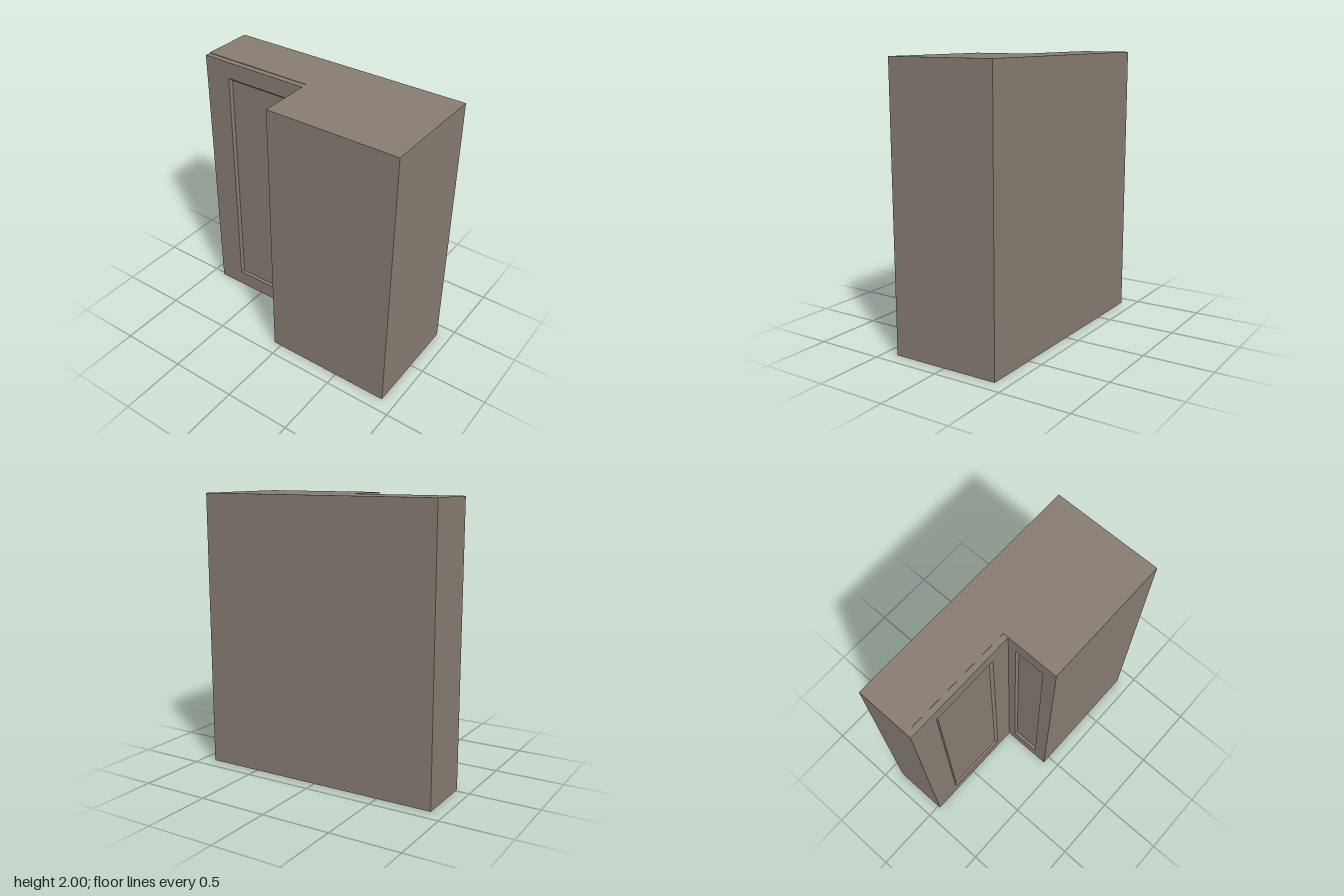
import * as THREE from 'three';

const HEIGHT = 2;
const material = new THREE.MeshStandardMaterial({ color: 0x877c72, flatShading: true });

function mesh(geometry, name) {
  const m = new THREE.Mesh(geometry, material);
  m.name = name;
  return m;
}

// Corners of an upright rectangle, counter-clockwise seen from +z
const corners = (x0, x1, y0, y1) => [[x0, y0], [x1, y0], [x1, y1], [x0, y1]];
const points = (list) => list.map(([x, y]) => new THREE.Vector2(x, y));

// Sloping strip that joins an outer rectangle at z = 0 to an inner one at z = -depth
function bevelGeometry(outer, inner, depth) {
  const pos = [];
  for (let i = 0; i < 4; i++) {
    const j = (i + 1) % 4;
    const a = [...outer[i], 0], b = [...outer[j], 0];
    const c = [...inner[j], -depth], d = [...inner[i], -depth];
    pos.push(...a, ...b, ...c, ...a, ...c, ...d);
  }
  const g = new THREE.BufferGeometry();
  g.setAttribute('position', new THREE.Float32BufferAttribute(pos, 3));
  g.computeVertexNormals();
  return g;
}

// Door with a sunken panel; its front lies on z = 0 and faces +z
function makeDoor(name, { x0, x1, y0, y1, thickness, px0, px1, bevel, depth }) {
  const door = new THREE.Group();
  door.name = name;
  const py0 = 0.125, py1 = 1.875, rise = 0.016;
  const outer = corners(px0, px1, py0, py1);
  const inner = corners(px0 + bevel, px1 - bevel, py0 + rise, py1 - rise);

  const frame = new THREE.Shape(points(corners(x0, x1, y0, y1)));
  frame.holes.push(new THREE.Path(points(outer)));
  const frameGeometry = new THREE.ExtrudeGeometry(frame, { depth: thickness, bevelEnabled: false });
  frameGeometry.translate(0, 0, -thickness);

  const panelGeometry = new THREE.BoxGeometry(px1 - px0, py1 - py0, thickness - depth);
  panelGeometry.translate((px0 + px1) / 2, (py0 + py1) / 2, -(thickness + depth) / 2);

  door.add(
    mesh(frameGeometry, 'doorFrame'),
    mesh(bevelGeometry(outer, inner, depth), 'doorBevel'),
    mesh(panelGeometry, 'doorPanel'),
  );
  return door;
}

export function createModel() {
  const cabinet = new THREE.Group();
  cabinet.name = 'cornerCabinet';

  // L-shaped carcass, drawn in plan (x, -z) and raised to full height
  const plan = new THREE.Shape(points([
    [-0.9, 0.4], [-0.9, 0.02], [0, 0.02], [0, -0.4], [0.9, -0.4], [0.9, 0.4],
  ]));
  const bodyGeometry = new THREE.ExtrudeGeometry(plan, { depth: HEIGHT, bevelEnabled: false });
  bodyGeometry.rotateX(-Math.PI / 2);
  cabinet.add(mesh(bodyGeometry, 'carcass'));

  // Wide door on the shallow wing
  const wide = makeDoor('frontDoor', {
    x0: -0.9, x1: -0.06, y0: 0.004, y1: HEIGHT - 0.004, thickness: 0.04,
    px0: -0.7, px1: -0.2, bevel: 0.02, depth: 0.015,
  });
  wide.position.z = 0.02;

  // Narrow door on the inner side of the deep wing, facing -x
  const narrow = makeDoor('innerDoor', {
    x0: -0.02, x1: 0.4, y0: 0, y1: HEIGHT, thickness: 0.06,
    px0: 0.08, px1: 0.3, bevel: 0.01, depth: 0.02,
  });
  narrow.rotation.y = -Math.PI / 2;
  narrow.position.x = -0.06;

  cabinet.add(wide, narrow);
  return cabinet;
}
